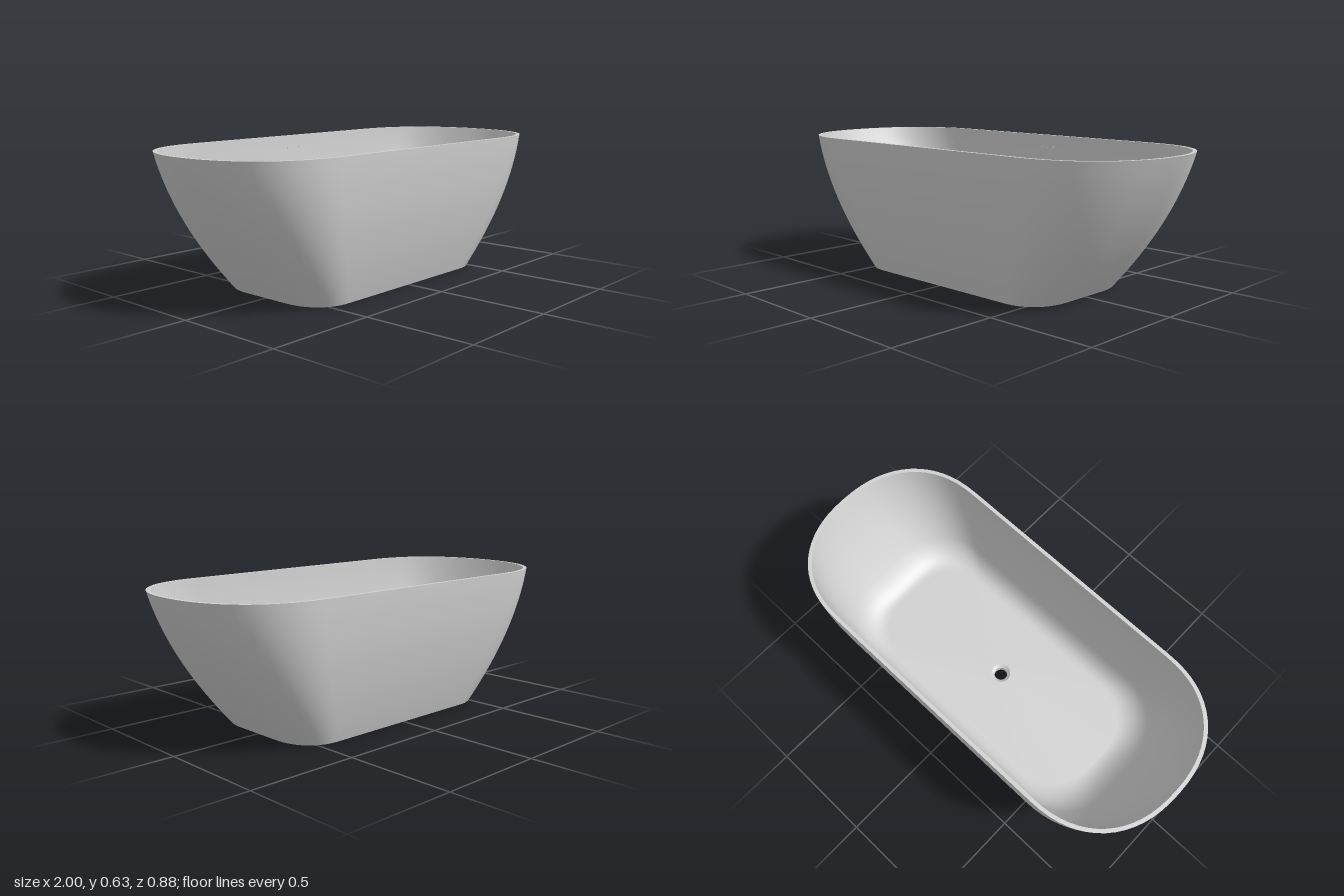
import * as THREE from 'three';

const HEIGHT = 0.635, FLOOR = 0.152, UNDER = 0.137, COVE = 0.25, CORNER = 16;
const KEYS = ['y', 'hx', 'hz', 'rx', 'rz', 'e'];

// Half sizes and corner radii of the tub wall at height y, moved inward by inset;
// e below 1 makes the corners a little fuller than an ellipse
function wall(y, inset = 0) {
  const t = y / HEIGHT, b = t * (1 - t), grow = Math.pow(t, 0.9);
  return {
    y,
    hx: 0.58 + 0.42 * (t + 0.38 * b) - inset,
    hz: 0.317 + 0.123 * (t + 0.8 * b) - inset,
    rx: 0.18 + 0.24 * grow - inset,
    rz: 0.2 + 0.24 * grow - inset,
    e: 0.88,
  };
}
const ring = (y, r) => ({ y, hx: r, hz: r, rx: r, rz: r, e: 1 });
const steps = (n, f) => Array.from({ length: n + 1 }, (_, i) => f(i / n));

// Skin over rounded sections; the surface faces outward when sections rise
function loft(sections) {
  const pos = [], idx = [], n = 4 * (CORNER + 1);
  for (const s of sections) {
    for (let q = 0; q < 4; q++) {
      const sx = q === 0 || q === 3 ? 1 : -1, sz = q < 2 ? 1 : -1;
      for (let i = 0; i <= CORNER; i++) {
        const a = (q + i / CORNER) * Math.PI / 2;
        const cx = Math.pow(Math.abs(Math.cos(a)), s.e), cz = Math.pow(Math.abs(Math.sin(a)), s.e);
        pos.push(sx * (s.hx - s.rx + s.rx * cx), s.y, sz * (s.hz - s.rz + s.rz * cz));
      }
    }
  }
  for (let j = 0; j < sections.length - 1; j++) {
    for (let i = 0; i < n; i++) {
      const a = j * n + i, b = j * n + (i + 1) % n;
      idx.push(a, a + n, b, b, a + n, b + n);
    }
  }
  const g = new THREE.BufferGeometry();
  g.setAttribute('position', new THREE.Float32BufferAttribute(pos, 3));
  g.setIndex(idx);
  g.computeVertexNormals();
  return g;
}

export function createModel() {
  const model = new THREE.Group();
  model.name = 'bathtub';
  const enamel = new THREE.MeshStandardMaterial({ color: 0xd0d0d0 });
  enamel.name = 'grey enamel';
  const add = (name, geometry) => {
    const mesh = new THREE.Mesh(geometry, enamel);
    mesh.name = name;
    model.add(mesh);
    return mesh;
  };

  // Shell, thin rim and foot edge
  const thick = 0.017;
  add('outerWall', loft(steps(16, t => wall(HEIGHT * t))));
  add('rim', loft([wall(HEIGHT), wall(HEIGHT, thick)]));
  add('footEdge', loft([wall(0, 0.02), wall(0)]));

  // Basin: wall, then a rounded cove running into the flat floor
  const top = wall(COVE, thick), knee = wall(FLOOR, thick);
  const flat = { y: FLOOR, hx: 0.63, hz: 0.275, rx: 0.23, rz: 0.23, e: 0.88 };
  const cove = steps(12, t => Object.fromEntries(KEYS.map(k =>
    [k, (1 - t) ** 2 * top[k] + 2 * t * (1 - t) * knee[k] + t * t * flat[k]])));
  const basinWall = steps(12, t => wall(HEIGHT + (COVE - HEIGHT) * t, thick));
  add('basin', loft([...basinWall, ...cove.slice(1)]));
  add('basinFloor', loft([flat, ring(FLOOR, 0.046)]));

  // Hollow base seen from below
  add('baseInnerWall', loft(steps(5, t => wall(UNDER * (1 - t), 0.02))));
  add('underside', loft([ring(UNDER, 0.07), wall(UNDER, 0.02)]));

  // Open drain: sloped seat, throat and collar under the floor
  const seat = FLOOR - 0.012, low = UNDER - 0.025;
  add('drainSeat', loft([ring(FLOOR, 0.046), ring(seat, 0.031)]));
  add('drainThroat', loft([ring(seat, 0.031), ring(low, 0.031)]));
  add('drainCollarFace', loft([ring(low, 0.031), ring(low, 0.07)]));
  add('drainCollar', loft([ring(low, 0.07), ring(UNDER, 0.07)]));

  // Overflow slot frame on the back basin wall
  const pill = (hw, hh) => {
    const s = new THREE.Path();
    s.absarc(hw - hh, 0, hh, -Math.PI / 2, Math.PI / 2);
    s.absarc(-hw + hh, 0, hh, Math.PI / 2, Math.PI * 1.5);
    s.closePath();
    return s;
  };
  const frame = new THREE.Shape(pill(0.042, 0.007).getPoints(8));
  frame.holes.push(pill(0.039, 0.004));
  const slot = add('overflowSlot', new THREE.ExtrudeGeometry(frame, { depth: 0.005, bevelEnabled: false }));
  slot.position.set(0, 0.575, -wall(0.575, thick).hz - 0.002);
  slot.rotation.x = -0.08;
  return model;
}
